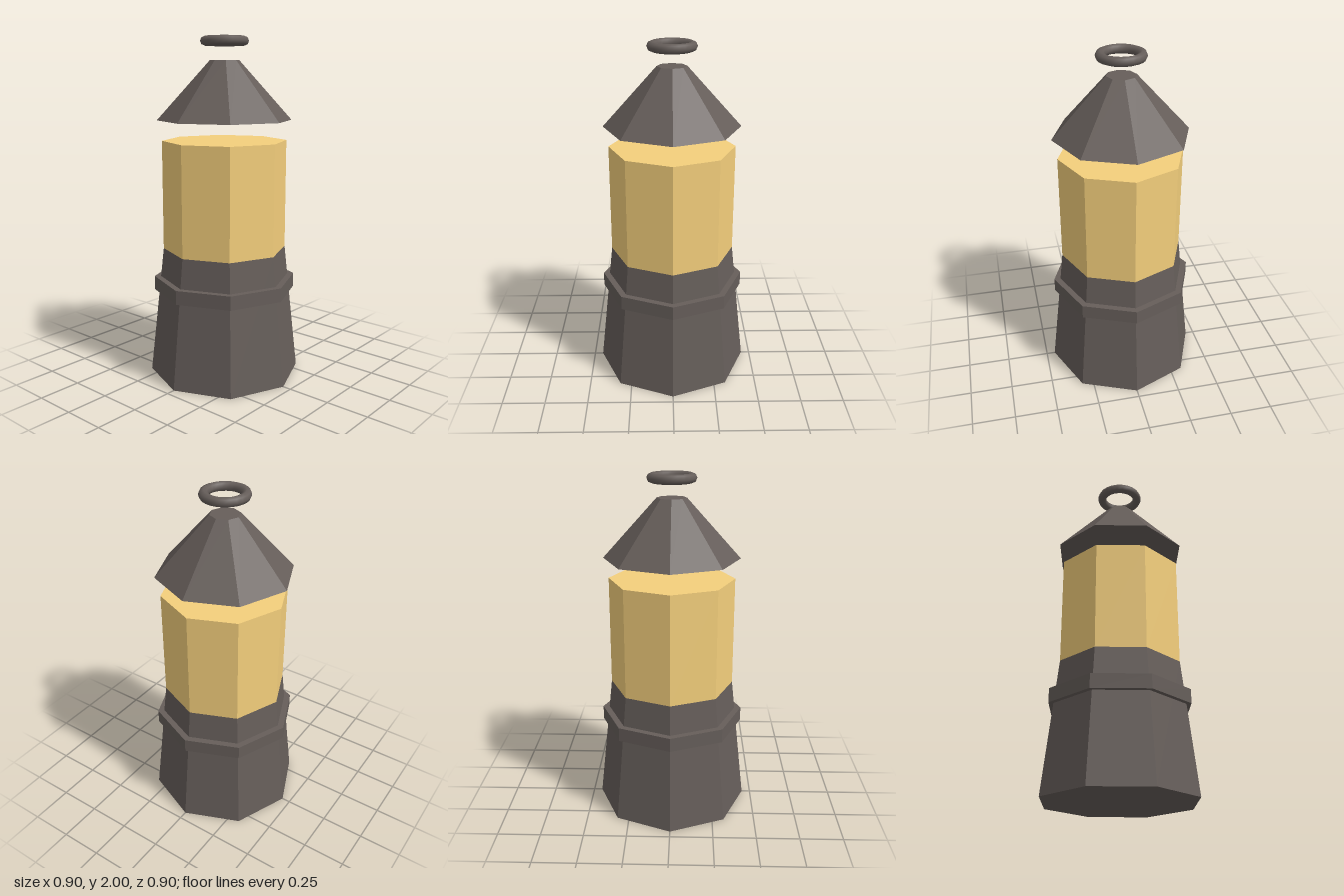
import * as THREE from 'three';

const SIDES = 8;

export function createModel() {
  const model = new THREE.Group();
  model.name = 'lantern';

  const iron = new THREE.MeshStandardMaterial({ color: 0x665e5a, flatShading: true });
  const ringIron = new THREE.MeshStandardMaterial({ color: 0x665e5a });
  const glow = new THREE.MeshStandardMaterial({ color: 0xf4cf7c, flatShading: true });

  // Octagonal tier between two heights, with corners on the x and z axes
  function tier(name, bottomRadius, topRadius, y0, y1, material) {
    const geometry = new THREE.CylinderGeometry(topRadius, bottomRadius, y1 - y0, SIDES);
    const mesh = new THREE.Mesh(geometry, material);
    mesh.name = name;
    mesh.position.y = (y0 + y1) / 2;
    model.add(mesh);
  }

  tier('base', 0.45, 0.365, 0, 0.765, iron);
  tier('collar', 0.422, 0.422, 0.51, 0.592, iron);
  tier('glass', 0.365, 0.365, 0.765, 1.407, glow);
  tier('roof', 0.393, 0.085, 1.525, 1.865, iron);

  // Carrying ring lying flat above the roof
  const ring = new THREE.Mesh(new THREE.TorusGeometry(0.113, 0.027, 8, 24), ringIron);
  ring.name = 'ring';
  ring.rotation.x = Math.PI / 2;
  ring.position.y = 1.973;
  model.add(ring);

  return model;
}
